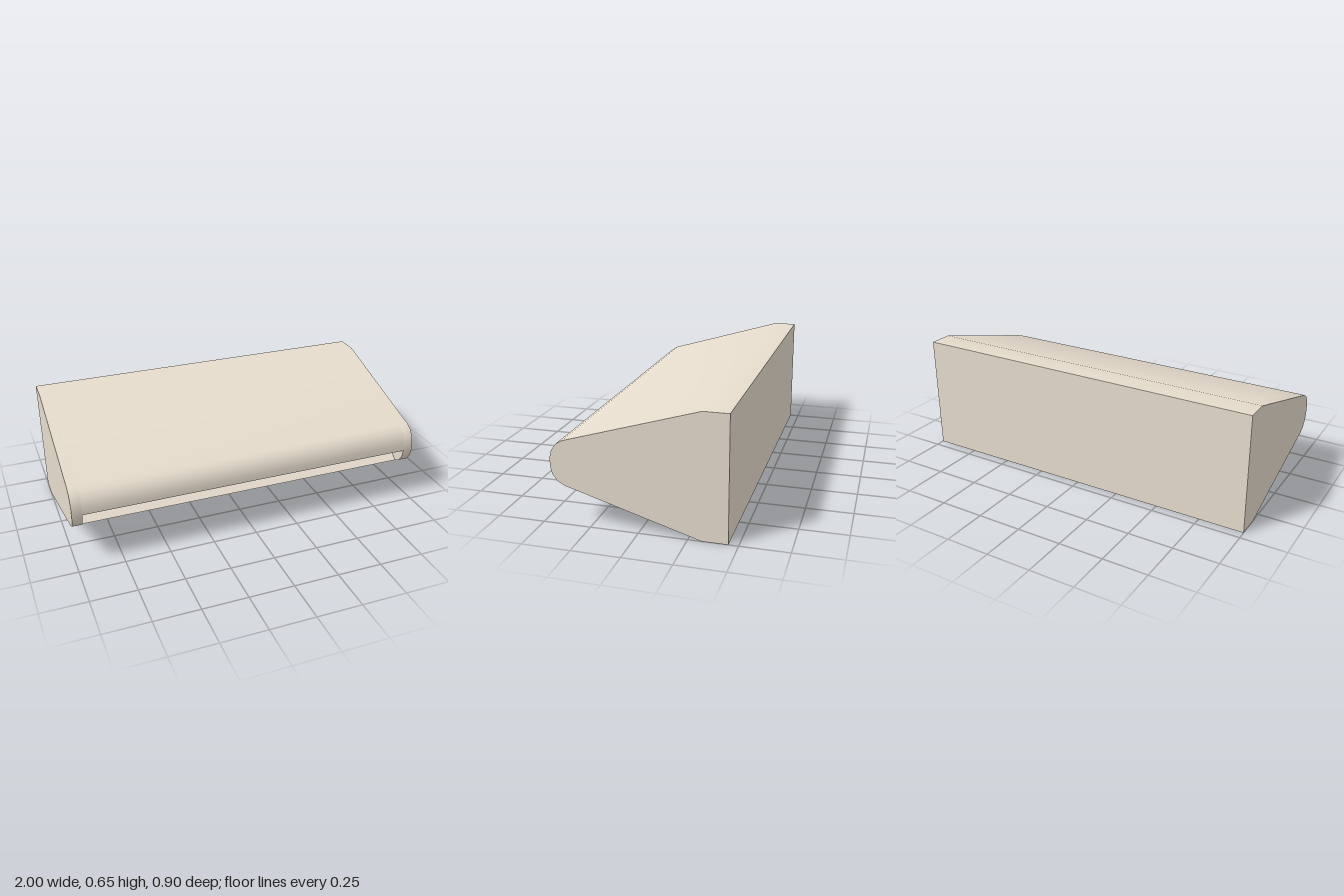
import * as THREE from 'three';
import { toCreasedNormals } from 'three/addons/utils/BufferGeometryUtils.js';

const paint = (color) => new THREE.MeshStandardMaterial({ color });
const shell = paint(0xe6dccd), black = paint(0x0a0d0b), trim = paint(0xdfe3da), glass = paint(0x59635a);

// Side outlines as [z, y], running from the back bottom round the nose to the back top
const under = [[-0.45, 0], [-0.32, 0], [0.38, 0.21]];
const noseLow = [[0.415, 0.23], [0.44, 0.265], [0.45, 0.305]];
const slot = [[0.31, 0.26], [0.31, 0.31], [0.45, 0.31]];
const over = [[0.45, 0.35], [0.44, 0.39], [0.415, 0.425], [0.38, 0.445], [-0.32, 0.655], [-0.45, 0.655]];

function add(group, name, geometry, material) {
  const mesh = new THREE.Mesh(geometry, material);
  mesh.name = name;
  group.add(mesh);
  return mesh;
}

// Extrude a side outline along x from x0 to x1
function section(points, x0, x1) {
  const shape = new THREE.Shape(points.map(([z, y]) => new THREE.Vector2(z, y)));
  const geo = new THREE.ExtrudeGeometry(shape, { depth: x1 - x0, bevelEnabled: false });
  geo.rotateY(-Math.PI / 2).translate(x1, 0, 0);
  return toCreasedNormals(geo, 0.6);
}

function rectangle(Kind, w, h) {
  return new Kind([[-w, -h], [w, -h], [w, h], [-w, h]].map(([x, y]) => new THREE.Vector2(x / 2, y / 2)));
}

export function createModel() {
  const model = new THREE.Group();
  model.name = 'wallAirConditioner';
  const slotEnd = 0.945;

  // Casing: a slotted middle between two solid ends
  add(model, 'casingMiddle', section([...under, ...slot, ...over], -slotEnd, slotEnd), shell);
  add(model, 'casingEndRight', section([...under, ...noseLow, ...over], -1, -slotEnd), shell);
  add(model, 'casingEndLeft', section([...under, ...noseLow, ...over], slotEnd, 1), shell);

  // Dark opening at the back of the air slot
  add(model, 'airOutlet', new THREE.BoxGeometry(slotEnd * 2, 0.05, 0.006), black).position.set(0, 0.285, 0.31);

  // Small framed display lying on the sloping underside
  const display = new THREE.Group();
  display.name = 'display';
  const frame = rectangle(THREE.Shape, 0.13, 0.07);
  frame.holes.push(rectangle(THREE.Path, 0.11, 0.05));
  add(display, 'displayFrame', new THREE.ExtrudeGeometry(frame, { depth: 0.008, bevelEnabled: false }), trim);
  add(display, 'displayPanel', new THREE.BoxGeometry(0.11, 0.05, 0.002), glass).position.z = 0.001;
  display.position.set(0.875, 0.183, 0.29);
  display.rotation.x = Math.PI / 2 - Math.atan(0.3);
  model.add(display);

  return model;
}
